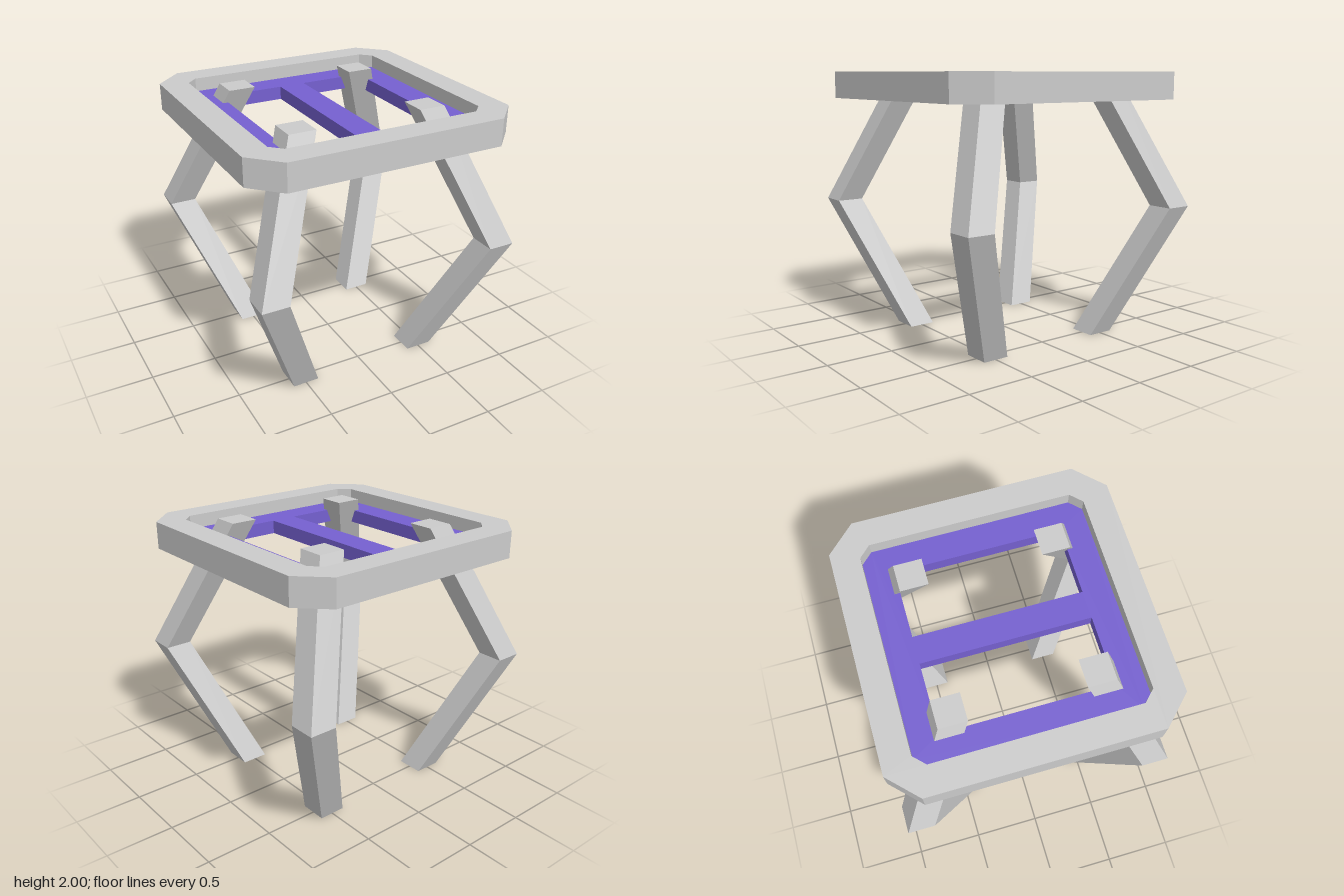
import * as THREE from 'three';

const grey = new THREE.MeshStandardMaterial({ color: 0xcccccc, flatShading: true });
const purple = new THREE.MeshStandardMaterial({ color: 0x7560d0, flatShading: true });

// Square outline of half-width r with corners cut off by c
function chamferedSquare(r, c, Type = THREE.Shape) {
  const k = r - c;
  const corners = [[r, -k], [r, k], [k, r], [-k, r], [-r, k], [-r, -k], [-k, -r], [k, -r]];
  return new Type(corners.map(([x, y]) => new THREE.Vector2(x, y)));
}

function rectHole(x0, x1, z) {
  return new THREE.Path([[x0, -z], [x0, z], [x1, z], [x1, -z]].map(([x, y]) => new THREE.Vector2(x, y)));
}

// Horizontal slab between two heights
function slab(shape, y0, y1) {
  const geometry = new THREE.ExtrudeGeometry(shape, { depth: y1 - y0, bevelEnabled: false });
  return geometry.rotateX(-Math.PI / 2).translate(0, y0, 0);
}

// Square post that leans out to a knee at y = 1 and back in at the top
function legGeometry(sx, sz) {
  const geometry = new THREE.BoxGeometry(0.2, 2, 0.2, 1, 2, 1).translate(0, 1, 0);
  const p = geometry.attributes.position;
  for (let i = 0; i < p.count; i++) {
    const offset = 0.5 + 0.4 * (1 - Math.abs(p.getY(i) - 1));
    p.setX(i, p.getX(i) + sx * offset);
    p.setZ(i, p.getZ(i) + sz * offset);
  }
  const flat = geometry.toNonIndexed();
  flat.computeVertexNormals();
  return flat;
}

export function createModel() {
  const model = new THREE.Group();
  model.name = 'table';
  const add = (name, geometry, material) => {
    const mesh = new THREE.Mesh(geometry, material);
    mesh.name = name;
    model.add(mesh);
  };

  // Raised rim
  const rim = chamferedSquare(1, 0.2);
  rim.holes.push(chamferedSquare(0.8, 0.08, THREE.Path));
  add('rim', slab(rim, 1.8, 2), grey);

  // Recessed coloured panel with two openings and a centre bar
  const panel = chamferedSquare(0.8, 0.08);
  panel.holes.push(rectHole(-0.6, -0.1, 0.6), rectHole(0.1, 0.6, 0.6));
  add('panel', slab(panel, 1.801, 1.9), purple);

  // Grey underside of the panel, facing down
  const underside = new THREE.ShapeGeometry(panel).rotateX(Math.PI / 2).translate(0, 1.8, 0);
  add('panelUnderside', underside, grey);

  // Four bent legs
  for (const [sx, side] of [[1, 'Left'], [-1, 'Right']]) {
    for (const [sz, end] of [[1, 'front'], [-1, 'back']]) {
      add(`${end}${side}Leg`, legGeometry(sx, sz), grey);
    }
  }
  return model;
}
